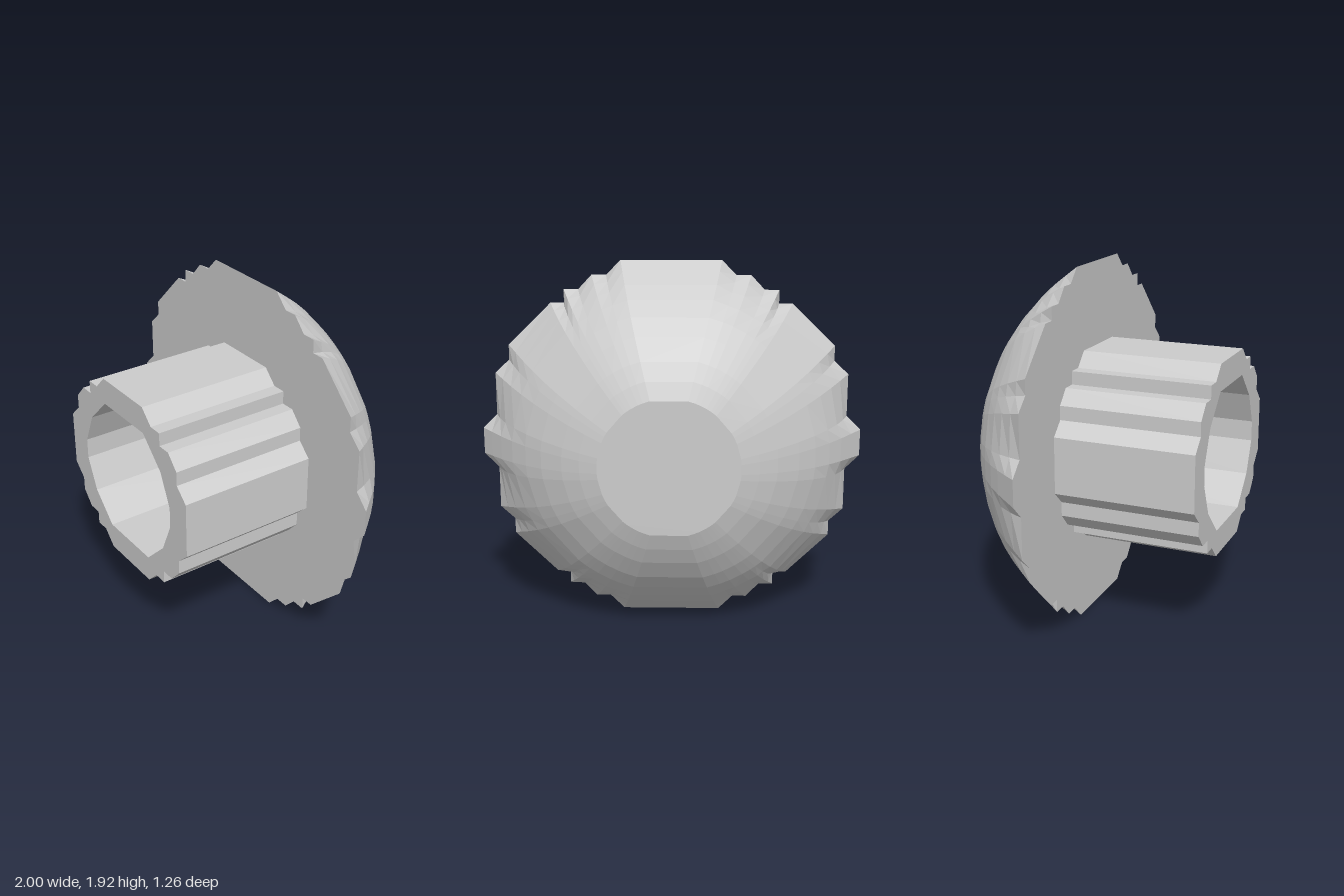
import * as THREE from 'three';

const CY = 0.965;        // height of the shared axis
const FLANGE_Z = -0.115; // flat underside of the cap
const TIP_Z = 0.63;      // open end of the stem
const BACK_Z = -0.63;    // blunt back of the cap
const CENTRE_Z = 0.43;   // centre of the cap's sphere

// Mirror a quarter outline (from +x to +y) into a full counter-clockwise loop
function fullOutline(quarter) {
  const q1 = quarter.map(([x, y]) => new THREE.Vector2(x, y));
  const q2 = quarter.map(([x, y]) => new THREE.Vector2(-x, y)).reverse();
  const half = [...q1, ...q2];
  return [...half, ...half.map((p) => new THREE.Vector2(-p.x, -p.y))];
}

const capOutline = fullOutline([
  [1, 0.07], [0.925, 0.145], [0.925, 0.37], [0.85, 0.44], [0.85, 0.52], [0.625, 0.74],
  [0.555, 0.74], [0.555, 0.81], [0.48, 0.81], [0.41, 0.885], [0.335, 0.885], [0.26, 0.96],
]);
const stemOutline = fullOutline([
  [0.555, 0.15], [0.48, 0.22], [0.48, 0.295], [0.41, 0.37],
  [0.335, 0.37], [0.335, 0.44], [0.26, 0.44], [0.185, 0.515],
]);
const boreOutline = fullOutline([[0.41, 0.055], [0.335, 0.225], [0.185, 0.372]]);

// Join rings of equal count; rings ordered towards +z face outwards
function loft(rings) {
  const pos = [];
  const put = (r, i) => {
    const p = r.points[i % r.points.length];
    pos.push(p.x, p.y, r.z);
  };
  for (let k = 0; k < rings.length - 1; k++) {
    const a = rings[k], b = rings[k + 1];
    for (let i = 0; i < a.points.length; i++) {
      put(a, i); put(a, i + 1); put(b, i + 1);
      put(a, i); put(b, i + 1); put(b, i);
    }
  }
  const g = new THREE.BufferGeometry();
  g.setAttribute('position', new THREE.Float32BufferAttribute(pos, 3));
  g.computeVertexNormals();
  return g;
}

// Flat face towards +z with an optional opening
function face(outline, hole, z) {
  const shape = new THREE.Shape(outline);
  if (hole) shape.holes.push(new THREE.Path(hole));
  return new THREE.ShapeGeometry(shape).translate(0, 0, z);
}

// Ring on a sphere, following the outline's angles; step = 0 for a round ring
function sphereRing(outline, radius, z, step) {
  const r = Math.sqrt(Math.max(0, radius * radius - (z - CENTRE_Z) ** 2));
  const points = outline.map((p) => {
    const len = p.length();
    const k = r * (1 + step * (len / 0.98 - 1)) / len;
    return p.clone().multiplyScalar(k);
  });
  return { points, z };
}

export function createModel() {
  const group = new THREE.Group();
  const material = new THREE.MeshStandardMaterial({ color: 0xcccccc, flatShading: true });
  const add = (name, geometry) => {
    const mesh = new THREE.Mesh(geometry, material);
    mesh.name = name;
    mesh.position.y = CY;
    group.add(mesh);
  };

  // Domed cap, its stepped rim fading into a round dome
  const domeRings = [
    [BACK_Z, 0], [-0.595, 0], [-0.55, 0], [-0.48, 0], [-0.41, 0], [-0.335, 0.1], [-0.26, 0.3], [-0.185, 0.6],
  ].map(([z, step]) => sphereRing(capOutline, 1.118, z, step));
  add('capDome', loft([...domeRings, { points: capOutline, z: FLANGE_Z }]));
  const backFace = face(domeRings[0].points, null, 0);
  backFace.rotateY(Math.PI).translate(0, 0, BACK_Z);
  add('capBack', backFace);
  add('capUnderside', face(capOutline, stemOutline, FLANGE_Z));

  // Hollow stem
  add('stemWall', loft([
    { points: stemOutline, z: FLANGE_Z },
    { points: stemOutline, z: TIP_Z },
  ]));
  add('stemRim', face(stemOutline, boreOutline, TIP_Z));

  // Bore running into a shallow concave dish inside the cap
  add('boreWall', loft([
    { points: boreOutline, z: TIP_Z },
    { points: boreOutline, z: -0.45 },
  ]));
  const dishRings = [-0.485, -0.515, -0.535, -0.54].map((z) => sphereRing(boreOutline, 0.97, z, 0));
  add('boreDish', loft([{ points: boreOutline, z: -0.45 }, ...dishRings]));

  return group;
}
